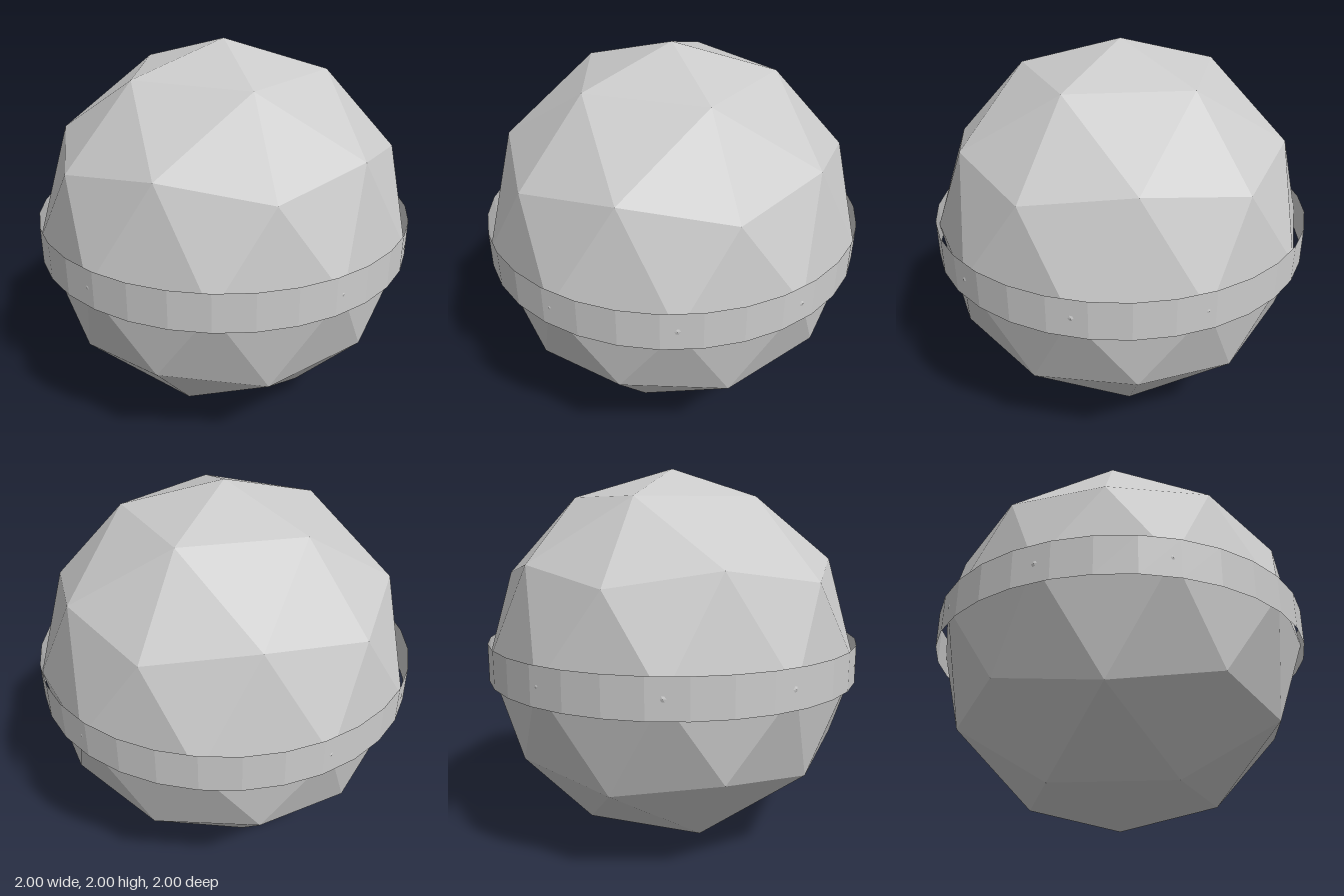
import * as THREE from 'three';

export function createModel() {
  const model = new THREE.Group();

  // Faceted ball, turned so that a five-sided corner points straight up
  const ballGeometry = new THREE.IcosahedronGeometry(1, 1);
  ballGeometry.rotateZ(Math.atan2(2, 1 + Math.sqrt(5)));
  ballGeometry.rotateY(Math.PI);
  ballGeometry.computeVertexNormals();
  const ball = new THREE.Mesh(
    ballGeometry,
    new THREE.MeshStandardMaterial({ color: 0xcccccc, flatShading: true })
  );
  ball.name = 'ball';
  ball.position.y = 1;

  // Thin open band around the equator
  const band = new THREE.Mesh(
    new THREE.CylinderGeometry(1, 1, 0.2, 32, 1, true),
    new THREE.MeshStandardMaterial({ color: 0xcccccc, flatShading: true, side: THREE.DoubleSide })
  );
  band.name = 'equatorBand';
  band.position.y = 1;

  model.add(ball, band);
  return model;
}
